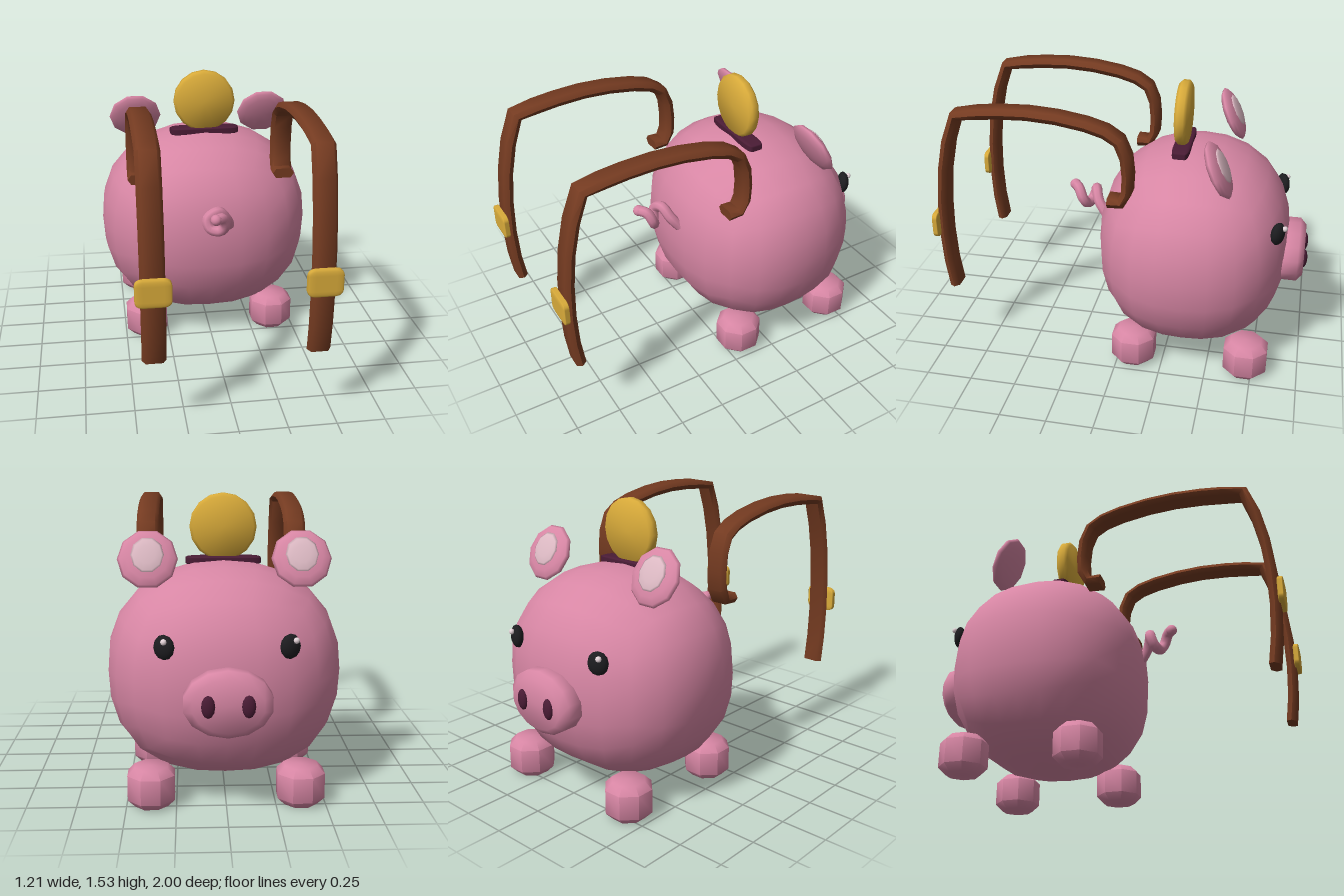
import * as THREE from 'three';
import { mergeVertices, toCreasedNormals } from 'three/addons/utils/BufferGeometryUtils.js';
import { RoundedBoxGeometry } from 'three/addons/geometries/RoundedBoxGeometry.js';

const material = (name, color) => {
  const m = new THREE.MeshStandardMaterial({ color });
  m.name = name;
  return m;
};

// Box grid swelled into a rounded body, a little fuller towards the bottom
function bodyGeometry(rx, ry, rz) {
  let geo = new THREE.BoxGeometry(2, 2, 2, 6, 6, 6);
  geo.deleteAttribute('normal');
  geo.deleteAttribute('uv');
  geo = mergeVertices(geo);
  const pos = geo.attributes.position;
  const v = new THREE.Vector3();
  for (let i = 0; i < pos.count; i++) {
    v.fromBufferAttribute(pos, i);
    v.set(...v.toArray().map((c) => Math.tan((c * Math.PI) / 4))).normalize();
    const p = 2.36 - 0.18 * v.y;
    const sum = v.toArray().reduce((s, c) => s + Math.abs(c) ** p, 0);
    v.multiplyScalar(sum ** (-1 / p));
    pos.setXYZ(i, v.x * rx, v.y * ry, v.z * rz);
  }
  geo.computeVertexNormals();
  return geo;
}

// Softly bevelled disc whose axis runs along y
function discGeometry(r, depth, bevel, sides) {
  const h = depth / 2;
  const profile = [[0, -h], [r - bevel, -h], [r, bevel - h], [r, h - bevel], [r - bevel, h], [0, h]];
  const lathe = new THREE.LatheGeometry(profile.map(([x, y]) => new THREE.Vector2(x, y)), sides);
  return toCreasedNormals(lathe, 1);
}

// Box with rounding in proportion to each side
const softBox = (w, h, d) => new RoundedBoxGeometry(1, 1, 1, 2, 0.22).scale(w, h, d);

// Flat strap with bevelled edges swept along a (z, y) path
function strapGeometry(path) {
  const section = [[0.06, 0], [0.042, 0.027], [-0.042, 0.027], [-0.06, 0], [-0.042, -0.027], [0.042, -0.027]];
  const n = section.length;
  const rings = path.map(([z, y], i) => {
    const a = path[Math.max(i - 1, 0)];
    const b = path[Math.min(i + 1, path.length - 1)];
    const t = new THREE.Vector2(b[0] - a[0], b[1] - a[1]).normalize();
    return section.map(([u, w]) => [u, y - t.x * w, z + t.y * w]);
  });
  const out = [];
  const tri = (...pts) => pts.forEach((p) => out.push(...p));
  for (let i = 0; i < rings.length - 1; i++) {
    for (let j = 0; j < n; j++) {
      const k = (j + 1) % n;
      tri(rings[i][j], rings[i + 1][j], rings[i][k]);
      tri(rings[i][k], rings[i + 1][j], rings[i + 1][k]);
    }
  }
  const last = rings[rings.length - 1];
  for (let j = 1; j < n - 1; j++) {
    tri(rings[0][0], rings[0][j], rings[0][j + 1]);
    tri(last[0], last[j + 1], last[j]);
  }
  const geo = new THREE.BufferGeometry();
  geo.setAttribute('position', new THREE.Float32BufferAttribute(out, 3));
  return toCreasedNormals(geo, 1.03);
}

export function createModel() {
  const pink = material('pink', 0xd786a4);
  const palePink = material('palePink', 0xdcb9c3);
  const plum = material('plum', 0x4a1c35);
  const gold = material('gold', 0xd9ab3a);
  const leather = material('leather', 0x753b21);
  const black = material('black', 0x1d1d20);
  const white = material('white', 0xf0dfe4);

  const model = new THREE.Group();
  model.name = 'piggyBank';
  const add = (name, geo, mat, x, y, z, parent = model) => {
    const mesh = new THREE.Mesh(geo, mat);
    mesh.name = name;
    mesh.position.set(x, y, z);
    parent.add(mesh);
    return mesh;
  };
  const ball = (name, mat, [rx, ry, rz], [x, y, z], parent, w = 12, h = 8) =>
    add(name, new THREE.SphereGeometry(1, w, h).rotateX(Math.PI / 2).scale(rx, ry, rz), mat, x, y, z, parent);

  add('body', bodyGeometry(0.605, 0.545, 0.525), pink, 0, 0.645, -0.368);

  // Snout
  const snout = discGeometry(1, 1, 0.2, 14).rotateX(-Math.PI / 2).scale(0.217, 0.165, 0.16);
  add('snout', snout, pink, 0, 0.595, -0.9);

  // Coin slot and coin
  add('coinSlot', softBox(0.395, 0.045, 0.095), plum, 0, 1.183, -0.29);
  add('coin', discGeometry(0.175, 0.065, 0.016, 16).rotateX(-Math.PI / 2), gold, 0, 1.357, -0.285);

  // Curly tail
  const tailPath = [
    [0.085, 0.75, 0.13], [0.06, 0.81, 0.175], [0.01, 0.86, 0.2], [-0.05, 0.825, 0.215], [-0.035, 0.775, 0.235],
    [0.015, 0.77, 0.255], [0.04, 0.81, 0.275], [0.02, 0.86, 0.3], [-0.018, 0.865, 0.33],
  ].map((p) => new THREE.Vector3(...p));
  add('tail', new THREE.TubeGeometry(new THREE.CatmullRomCurve3(tailPath), 36, 0.03, 8), pink, 0, 0, 0);
  ball('tailTip', pink, [0.031, 0.031, 0.031], [-0.018, 0.865, 0.33]);

  const strapPath = [
    [0.92, 0.4], [0.94, 0.55], [0.948, 0.73], [0.942, 0.92], [0.922, 1.1], [0.885, 1.27], [0.83, 1.42],
    [0.72, 1.438], [0.6, 1.45], [0.45, 1.455], [0.3, 1.445], [0.15, 1.42], [0.05, 1.39], [-0.02, 1.345],
    [-0.055, 1.26], [-0.065, 1.16], [-0.06, 1.07], [-0.03, 1.01], [0.04, 1.008],
  ];

  for (const side of [1, -1]) {
    const tag = side > 0 ? 'left' : 'right';

    // Feet
    for (const [end, z] of [['Back', -0.09], ['Front', -0.714]]) {
      const foot = discGeometry(0.127, 0.205, 0.038, 8).rotateY(Math.PI / 8);
      add(`${tag}${end}Foot`, foot, pink, side * 0.375, 0.1075, z);
    }

    // Ears
    const ear = new THREE.Group();
    ear.name = `${tag}Ear`;
    ear.position.set(side * 0.385, 1.22, -0.517);
    ear.rotation.x = 0.45;
    model.add(ear);
    ball('earShell', pink, [0.152, 0.155, 0.04], [0, 0, 0], ear, 10, 8);
    ball('innerEar', palePink, [0.085, 0.095, 0.016], [0, 0.01, -0.031], ear, 10, 6);

    // Eyes
    const eye = new THREE.Group();
    eye.name = `${tag}Eye`;
    eye.position.set(side * 0.3, 0.845, -0.832);
    eye.rotation.y = -0.45 * side;
    model.add(eye);
    ball('eyeball', black, [0.054, 0.062, 0.032], [0, 0, 0], eye);
    ball('highlight', white, [0.016, 0.016, 0.014], [-0.014, 0.033, -0.031], eye, 8, 6);

    ball(`${tag}Nostril`, plum, [0.033, 0.056, 0.02], [side * 0.095, 0.595, -0.98]);

    // Shoulder strap and buckle
    add(`${tag}Strap`, strapGeometry(strapPath), leather, side * 0.405, 0, 0);
    add(`${tag}Buckle`, softBox(0.175, 0.142, 0.036), gold, side * 0.405, 0.79, 0.982);
  }

  return model;
}
